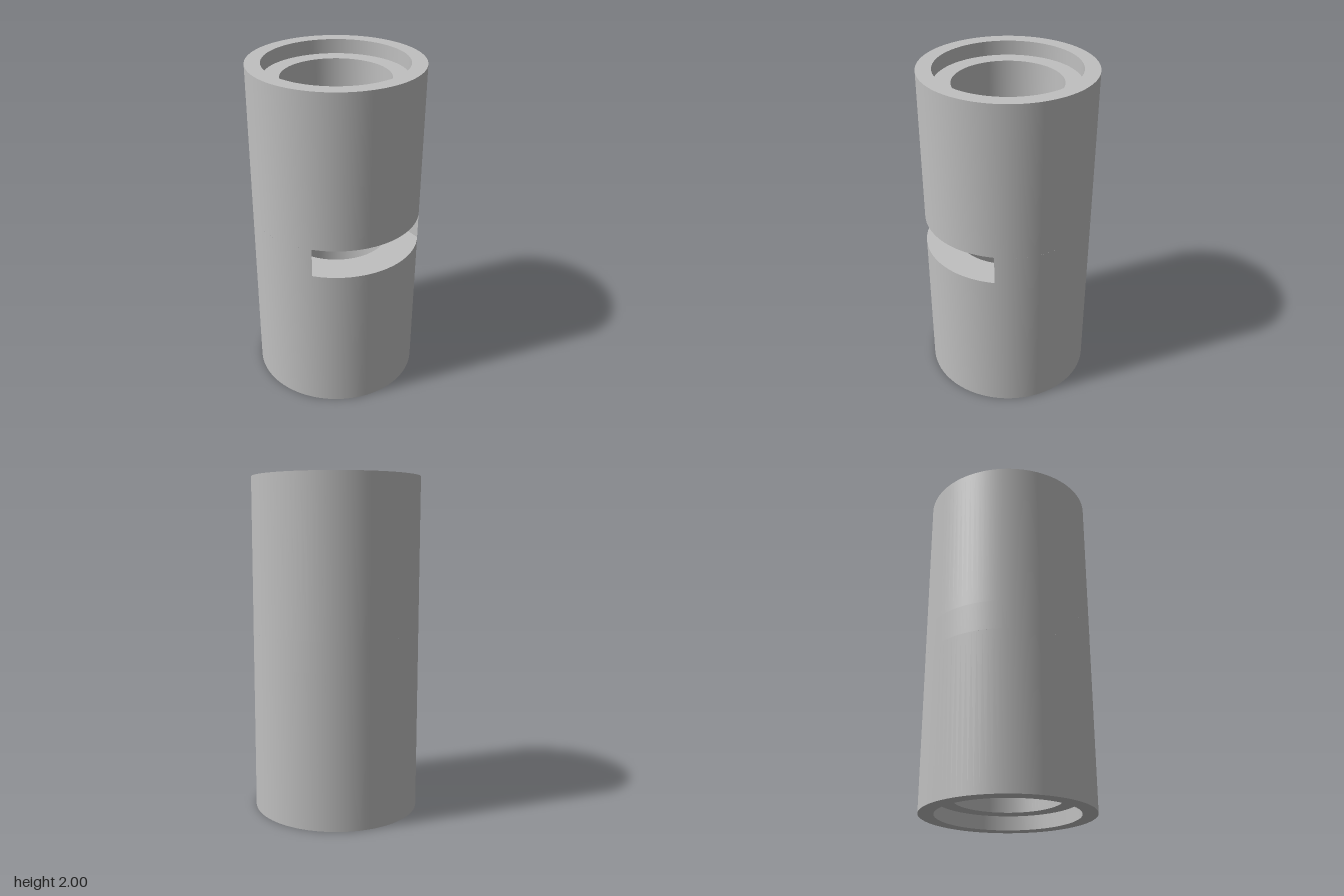
import * as THREE from 'three';
import { mergeGeometries } from 'three/addons/utils/BufferGeometryUtils.js';

const OUTER = 0.5, BORE = 0.3125, RECESS = 0.4125, RECESS_DEPTH = 0.085;
const SLOT = 0.379, SLOT_LOW = 0.9125, SLOT_HIGH = 1.0875;
const MOUTH = Math.sqrt(OUTER ** 2 - SLOT ** 2); // z where the slot sides meet the outer wall
const MOUTH_ANGLE = Math.asin(SLOT / OUTER);

// One revolved band between two [radius, y] points; going up faces outward
function band(from, to, start = 0, length = Math.PI * 2) {
  const points = [new THREE.Vector2(...from), new THREE.Vector2(...to)];
  return new THREE.LatheGeometry(points, 96, start, length);
}

// Half of the tube below the slot, with a stepped recess at its open end
function tubeHalf(material) {
  const group = new THREE.Group();
  const add = (name, geometry) => {
    const mesh = new THREE.Mesh(geometry, material);
    mesh.name = name;
    group.add(mesh);
  };
  add('outerWall', band([OUTER, 0], [OUTER, SLOT_LOW]));
  add('endRim', band([RECESS, 0], [OUTER, 0]));
  add('recess', mergeGeometries([
    band([RECESS, RECESS_DEPTH], [RECESS, 0]),
    band([BORE, RECESS_DEPTH], [RECESS, RECESS_DEPTH]),
  ]));
  add('bore', band([BORE, SLOT_LOW], [BORE, RECESS_DEPTH]));

  // U-shaped face of the slot around the bore
  const shape = new THREE.Shape();
  shape.moveTo(SLOT, 0);
  shape.absarc(0, 0, SLOT, 0, Math.PI, false);
  shape.lineTo(-SLOT, -MOUTH);
  shape.absarc(0, 0, OUTER, -Math.PI / 2 - MOUTH_ANGLE, -Math.PI / 2 + MOUTH_ANGLE, false);
  shape.closePath();
  shape.holes.push(new THREE.Path().absarc(0, 0, BORE, 0, Math.PI * 2, true));
  add('slotFace', new THREE.ShapeGeometry(shape, 64).rotateX(-Math.PI / 2).translate(0, SLOT_LOW, 0));
  return group;
}

export function createModel() {
  const grey = new THREE.MeshStandardMaterial({ color: 0xc0c0c0 });
  grey.name = 'grey';
  const model = new THREE.Group();
  model.name = 'slottedTube';

  const lower = tubeHalf(grey);
  lower.name = 'lowerTube';
  const upper = tubeHalf(grey);
  upper.name = 'upperTube';
  upper.rotation.z = Math.PI;
  upper.position.y = 2;
  model.add(lower, upper);

  // Outer wall beside and behind the slot
  const middle = new THREE.Mesh(
    band([OUTER, SLOT_LOW], [OUTER, SLOT_HIGH], MOUTH_ANGLE, 2 * (Math.PI - MOUTH_ANGLE)), grey);
  middle.name = 'middleWall';

  // Slot wall: round back with straight sides running to the front
  const height = SLOT_HIGH - SLOT_LOW;
  const parts = [band([SLOT, SLOT_HIGH], [SLOT, SLOT_LOW], Math.PI / 2, Math.PI)];
  for (const side of [-1, 1]) {
    parts.push(new THREE.PlaneGeometry(MOUTH, height)
      .rotateY(-side * Math.PI / 2).translate(side * SLOT, 1, MOUTH / 2));
  }
  const slotWall = new THREE.Mesh(mergeGeometries(parts), grey);
  slotWall.name = 'slotWall';
  model.add(middle, slotWall);
  return model;
}
